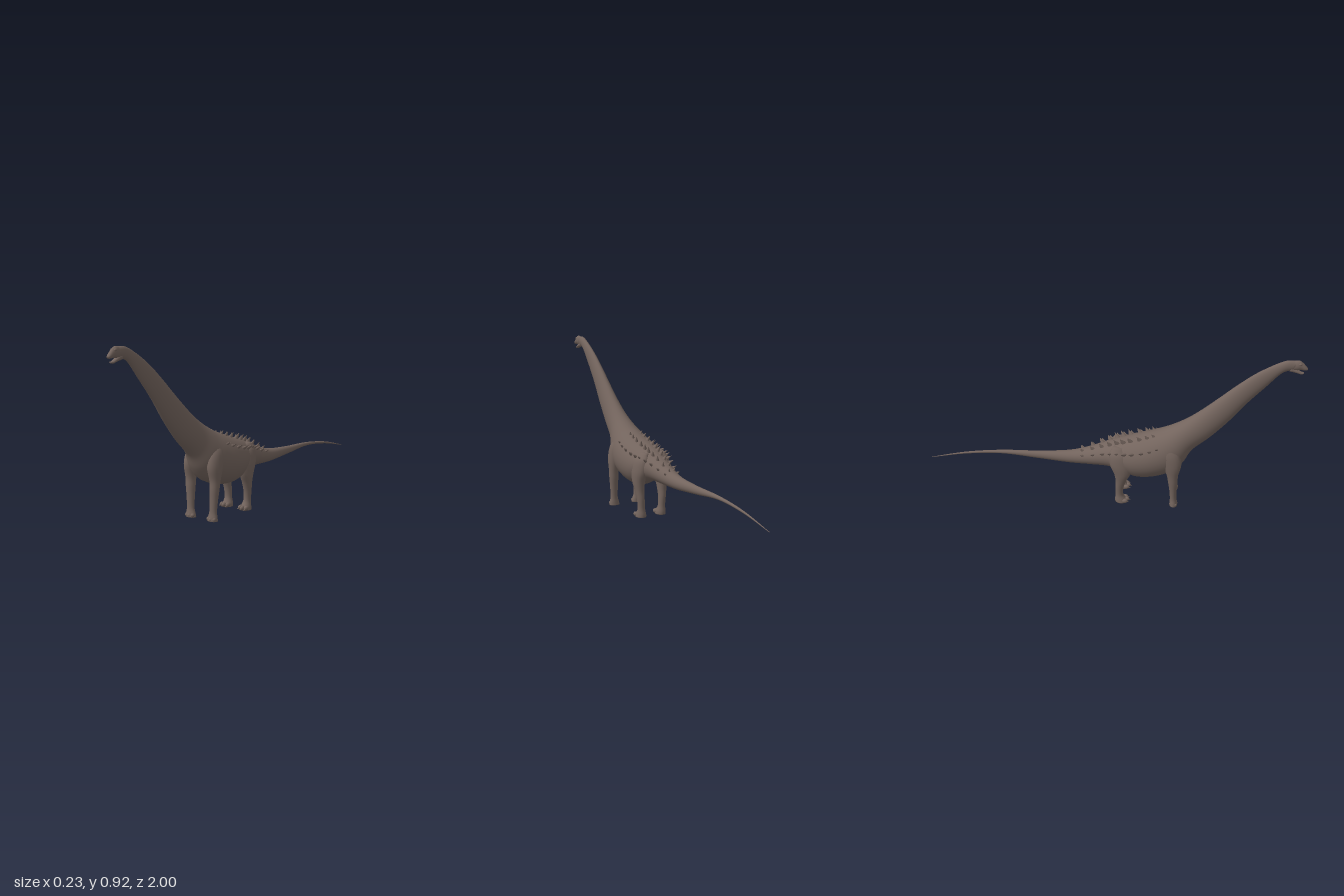
import * as THREE from 'three';

const V = (x, y, z) => new THREE.Vector3(x, y, z);

// A smooth run of elliptical sections, each [centre, half axis u, half axis v].
function makeSampler(sections) {
  const curves = [0, 1, 2].map(k =>
    new THREE.CatmullRomCurve3(sections.map(s => s[k]), false, 'catmullrom', 0.5));
  return t => curves.map(c => c.getPoint(t));
}

const onRing = ([c, u, v], a) =>
  c.clone().addScaledVector(u, Math.cos(a)).addScaledVector(v, Math.sin(a));

// Closed skin over the sections; travel follows u x v.
function loft(sections, rings, sides) {
  const sample = makeSampler(sections);
  const pos = [], index = [];
  for (let i = 0; i <= rings; i++) {
    const s = sample(i / rings);
    for (let j = 0; j < sides; j++) pos.push(...onRing(s, (j / sides) * Math.PI * 2).toArray());
  }
  const first = pos.length / 3;
  pos.push(...sections[0][0].toArray(), ...sections[sections.length - 1][0].toArray());
  for (let j = 0; j < sides; j++) {
    const k = (j + 1) % sides;
    for (let i = 0; i < rings; i++) {
      const a = i * sides, b = a + sides;
      index.push(a + j, a + k, b + j, a + k, b + k, b + j);
    }
    const e = rings * sides;
    index.push(first, k, j, first + 1, e + j, e + k);
  }
  const geo = new THREE.BufferGeometry();
  geo.setAttribute('position', new THREE.Float32BufferAttribute(pos, 3));
  geo.setIndex(index);
  geo.computeVertexNormals();
  return geo;
}

// Section across the body: top z,y then bottom z,y then half width.
const bodySection = ([tz, ty, bz, by, w]) => [
  V(0, (ty + by) / 2, (tz + bz) / 2), V(0, (ty - by) / 2, (tz - bz) / 2), V(w, 0, 0)];

// Section across a leg: centre x,y,z then half width and half depth.
const legSection = ([x, y, z, rx, rz]) => [V(x, y, z), V(0, 0, rz), V(rx, 0, 0)];

const BODY = [
  [0.945, 0.917, 0.925, 0.866, 0.014], [0.88, 0.912, 0.872, 0.842, 0.017],
  [0.76, 0.842, 0.80, 0.755, 0.021], [0.66, 0.758, 0.715, 0.652, 0.029],
  [0.56, 0.662, 0.63, 0.535, 0.039], [0.46, 0.57, 0.54, 0.43, 0.051],
  [0.38, 0.508, 0.45, 0.345, 0.067], [0.30, 0.462, 0.405, 0.262, 0.092],
  [0.24, 0.437, 0.35, 0.202, 0.109], [0.18, 0.415, 0.25, 0.163, 0.117],
  [0.10, 0.39, 0.15, 0.157, 0.111], [0.04, 0.37, 0.07, 0.19, 0.095],
  [-0.03, 0.343, 0.0, 0.21, 0.072], [-0.12, 0.307, -0.11, 0.21, 0.05],
  [-0.23, 0.28, -0.23, 0.21, 0.033], [-0.4, 0.268, -0.4, 0.224, 0.018],
  [-0.6, 0.262, -0.6, 0.242, 0.01], [-0.8, 0.238, -0.8, 0.226, 0.005],
  [-1.0, 0.19, -1.0, 0.187, 0.001],
].map(bodySection);

const UPPER_JAW = [
  [1.0, 0.876, 0.994, 0.866, 0.008], [0.99, 0.889, 0.982, 0.865, 0.012],
  [0.972, 0.908, 0.962, 0.868, 0.014], [0.953, 0.92, 0.942, 0.864, 0.016],
  [0.925, 0.917, 0.918, 0.862, 0.013],
].map(bodySection);

const LOWER_JAW = [
  [0.982, 0.852, 0.98, 0.844, 0.007], [0.968, 0.856, 0.966, 0.842, 0.011],
  [0.945, 0.87, 0.94, 0.85, 0.013], [0.915, 0.885, 0.91, 0.856, 0.012],
].map(bodySection);

const FRONT_LEG = [
  [0.072, 0, 0.36, 0.031, 0.022], [0.073, 0.018, 0.36, 0.028, 0.021],
  [0.075, 0.05, 0.358, 0.021, 0.018], [0.077, 0.11, 0.355, 0.023, 0.021],
  [0.079, 0.16, 0.352, 0.026, 0.026], [0.08, 0.21, 0.348, 0.028, 0.031],
  [0.077, 0.28, 0.343, 0.035, 0.05], [0.07, 0.35, 0.325, 0.034, 0.054],
  [0.056, 0.41, 0.30, 0.02, 0.035],
].map(legSection);

const HIND_LEG = [
  [0.062, 0, 0.07, 0.029, 0.034], [0.062, 0.018, 0.067, 0.027, 0.031],
  [0.064, 0.05, 0.06, 0.02, 0.021], [0.067, 0.10, 0.06, 0.021, 0.023],
  [0.07, 0.15, 0.068, 0.026, 0.03], [0.072, 0.20, 0.075, 0.032, 0.046],
  [0.07, 0.26, 0.07, 0.036, 0.064], [0.062, 0.32, 0.06, 0.034, 0.058],
  [0.05, 0.36, 0.05, 0.018, 0.03],
].map(legSection);

export function createModel() {
  const hide = new THREE.MeshStandardMaterial({ color: 0x73645d });
  hide.name = 'grey brown hide';
  const model = new THREE.Group();
  model.name = 'longNeckedDinosaur';

  const add = (parent, geo, name) => {
    const mesh = new THREE.Mesh(geo, hide);
    mesh.name = name;
    parent.add(mesh);
    return mesh;
  };

  // Neck, trunk and tail in one skin, then the head
  add(model, loft(BODY, 108, 28), 'neckBodyTail');
  add(model, loft(UPPER_JAW, 16, 16), 'upperHead');
  add(model, loft(LOWER_JAW, 12, 14), 'lowerJaw');

  const ball = new THREE.SphereGeometry(1, 12, 8);
  const claw = new THREE.ConeGeometry(0.006, 0.024, 8).rotateX(Math.PI / 2 + 0.3);
  const spike = new THREE.ConeGeometry(1, 1, 8).translate(0, 0.35, 0);
  const bodyAt = makeSampler(BODY);

  for (const side of [1, -1]) {
    const label = side > 0 ? 'left' : 'right';

    // Legs, mirrored by negating x of the centres
    const mirrored = leg => leg.map(([c, u, v]) => [V(c.x * side, c.y, c.z), u, v]);
    add(model, loft(mirrored(FRONT_LEG), 40, 18), label + 'FrontLeg');
    add(model, loft(mirrored(HIND_LEG), 40, 18), label + 'HindLeg');

    // Toes: short stubs in front, clawed ones behind
    for (const k of [-1, 0, 1]) {
      const stub = add(model, ball, label + 'FrontToe');
      stub.position.set(side * 0.072 + k * 0.018, 0.011, 0.374 - Math.abs(k) * 0.004);
      stub.scale.set(0.011, 0.011, 0.01);

      const toe = add(model, ball, label + 'HindToe');
      toe.position.set(side * 0.062 + k * 0.02, 0.013, 0.099 - Math.abs(k) * 0.008);
      toe.scale.set(0.011, 0.013, 0.017);

      const nail = add(model, claw, label + 'HindClaw');
      nail.position.set(side * 0.062 + k * 0.022, 0.01, 0.114 - Math.abs(k) * 0.008);
    }

    // Brow and nostril bumps
    const brow = add(model, ball, label + 'Brow');
    brow.position.set(side * 0.011, 0.903, 0.958);
    brow.scale.set(0.006, 0.007, 0.01);

    // Two rows of backward-leaning spikes per side
    for (const [angle, size] of [[0.3, 1], [0.95, 0.9]]) {
      for (let i = 0; i < 10; i++) {
        const s = bodyAt((8.1 + 5.2 * i / 9) / (BODY.length - 1));
        const a = angle * side;
        const p = onRing(s, a);
        const dir = V(Math.sin(a), Math.cos(a), -0.55).normalize();
        const h = size * (0.4 + 0.6 * Math.sin(Math.PI * (i + 1) / 11));
        const m = add(model, spike, label + 'BackSpike');
        m.position.copy(p);
        m.quaternion.setFromUnitVectors(V(0, 1, 0), dir);
        m.scale.set(0.009 * h + 0.002, 0.042 * h, 0.015 * h + 0.002);
      }
    }
  }
  return model;
}
